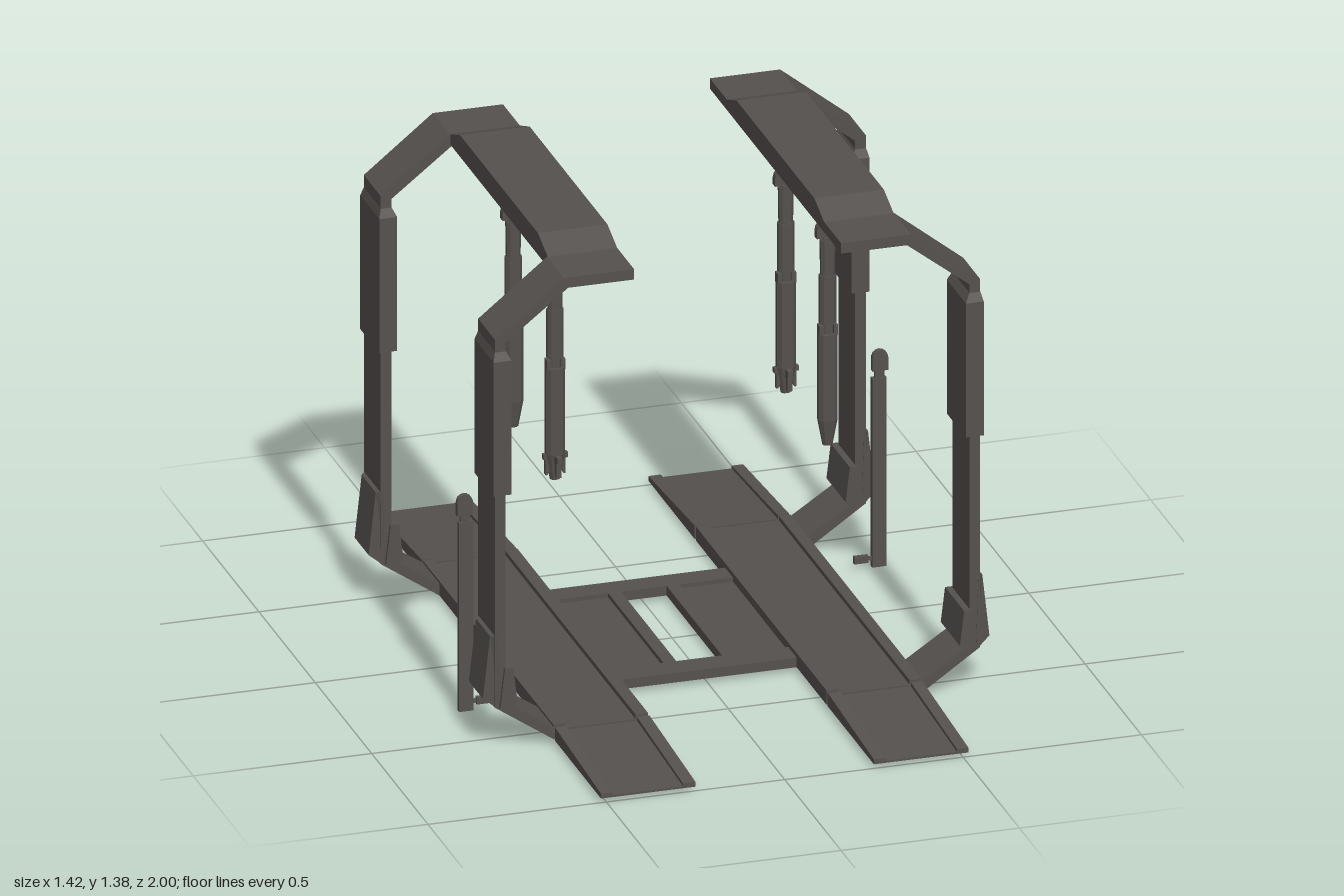
import * as THREE from 'three';

const steel = new THREE.MeshStandardMaterial({ color: 0x55514e, flatShading: true });
steel.name = 'dark steel';

function add(parent, name, geometry) {
  const mesh = new THREE.Mesh(geometry, steel);
  mesh.name = name;
  parent.add(mesh);
  return mesh;
}

// Box given by its limits on each axis
function box(x0, x1, y0, y1, z0, z1) {
  return new THREE.BoxGeometry(x1 - x0, y1 - y0, z1 - z0)
    .translate((x0 + x1) / 2, (y0 + y1) / 2, (z0 + z1) / 2);
}

function extrude(points, depth) {
  const shape = new THREE.Shape(points.map(([a, b]) => new THREE.Vector2(a, b)));
  return new THREE.ExtrudeGeometry(shape, { depth, bevelEnabled: false });
}

// Profile in x,y pushed along z
const alongZ = (points, z0, z1) => extrude(points, z1 - z0).translate(0, 0, z0);

// Profile in z,y pushed along x
const alongX = (points, x0, x1) => extrude(points, x1 - x0).rotateY(-Math.PI / 2).translate(x1, 0, 0);

function makeLeg(zMid) {
  const leg = new THREE.Group();
  leg.name = 'leg';
  leg.position.z = zMid;
  const h = 0.075;
  // Lower bent post
  add(leg, 'lowerArm', alongZ([
    [0.68, 0.76], [0.65, 0.76], [0.65, 0.135], [0.505, 0.04], [0.49, 0.04], [0.49, 0.012], [0.515, 0.012], [0.68, 0.125],
  ], -h, h));
  // Upper bent post carrying the beam
  add(leg, 'upperArm', alongZ([
    [0.68, 1.1], [0.68, 1.197], [0.487, 1.352], [0.29, 1.352], [0.29, 1.322], [0.475, 1.322], [0.65, 1.185], [0.65, 1.1],
  ], -h, h));
  // Sleeve around the telescoping joint, narrowed at its top
  add(leg, 'sleeve', box(0.637, 0.687, 0.745, 1.135, -0.085, 0.085));
  const collar = box(0.637, 0.687, 1.135, 1.16, -0.085, 0.085);
  const p = collar.attributes.position;
  for (let i = 0; i < p.count; i++) {
    if (p.getY(i) > 1.15) p.setXYZ(i, 0.665 + (p.getX(i) - 0.662) * 0.62, p.getY(i), p.getZ(i) * 0.89);
  }
  add(leg, 'sleeveCollar', collar);
  // Knee guards, the outer one drawn in at its far side
  const guard = alongZ([[0.675, 0.335], [0.69, 0.33], [0.71, 0.15], [0.668, 0.118]], -0.076, 0.076);
  const g = guard.attributes.position;
  for (let i = 0; i < g.count; i++) if (g.getX(i) > 0.685) g.setZ(i, g.getZ(i) * 0.82);
  add(leg, 'outerKneeGuard', guard);
  add(leg, 'innerKneeGuard', alongZ([[0.655, 0.24], [0.632, 0.24], [0.62, 0.14], [0.637, 0.12], [0.668, 0.125]], -0.085, 0.085));
  return leg;
}

function makeSide() {
  const side = new THREE.Group();
  side.name = 'side';
  // Track with curbs and sloping end ramps
  add(side, 'trackDeck', box(0.25, 0.515, 0.012, 0.04, -0.58, 0.58));
  for (const [x0, x1] of [[0.25, 0.285], [0.483, 0.515]]) {
    add(side, 'trackCurb', box(x0, x1, 0.039, 0.053, -0.58, 0.58));
    add(side, 'rampCurb', alongX([[0.59, 0.012], [1, 0.012], [1, 0.026], [0.59, 0.051]], x0, x1));
    add(side, 'rampCurb', alongX([[-1, 0.012], [-0.59, 0.012], [-0.59, 0.051], [-1, 0.026]], x0, x1));
  }
  add(side, 'ramp', alongX([[0.59, 0.012], [1, 0.012], [1, 0.018], [0.59, 0.04]], 0.28, 0.49));
  add(side, 'ramp', alongX([[-1, 0.012], [-0.59, 0.012], [-0.59, 0.04], [-1, 0.018]], 0.28, 0.49));

  side.add(makeLeg(0.507), makeLeg(-0.507));

  // Overhead beam with rails beneath
  add(side, 'beam', alongX([[-0.432, 1.336], [0.432, 1.336], [0.432, 1.352], [0.345, 1.385], [-0.345, 1.385], [-0.432, 1.352]], 0.29, 0.485));
  for (const [x0, x1] of [[0.29, 0.325], [0.365, 0.4], [0.45, 0.485]]) {
    add(side, 'beamRail', box(x0, x1, 1.322, 1.337, -0.432, 0.432));
  }

  // Free-standing pedestal with a rounded head and an inward foot bar
  const post = new THREE.Group();
  post.name = 'pedestal';
  post.position.set(0.673, 0, -0.297);
  side.add(post);
  add(post, 'pedestalBody', box(-0.02, 0.02, 0, 0.55, -0.008, 0.008));
  add(post, 'pedestalNeck', box(-0.012, 0.015, 0.55, 0.6, -0.005, 0.005));
  add(post, 'pedestalHead', new THREE.CylinderGeometry(0.022, 0.022, 0.015, 14).rotateX(Math.PI / 2).translate(0.003, 0.608, 0));
  add(post, 'pedestalHeadBase', box(-0.019, 0.025, 0.57, 0.608, -0.0075, 0.0075));
  add(post, 'footBar', box(-0.07, -0.018, 0.02, 0.03, -0.004, 0.004));
  add(post, 'footPad', box(-0.07, -0.03, 0.015, 0.035, -0.007, 0.007));
  return side;
}

function makePiston(x, z, clawed) {
  const piston = new THREE.Group();
  piston.name = 'hangingPiston';
  piston.position.set(x, 0, z);
  // Forked bracket under the beam
  add(piston, 'bracketTop', box(-0.026, 0.026, 1.292, 1.336, -0.025, 0.025));
  for (const s of [-1, 1]) {
    add(piston, 'bracketProng', alongZ([[-0.026, 1.293], [-0.015, 1.256], [0.015, 1.256], [0.026, 1.293]], s * 0.0185 - 0.0065, s * 0.0185 + 0.0065));
  }
  // Flat eye at the top
  add(piston, 'eye', new THREE.CylinderGeometry(0.033, 0.033, 0.022, 16).rotateX(Math.PI / 2).translate(0, 1.209, 0));
  add(piston, 'eyeBase', box(-0.033, 0.033, 1.19, 1.212, -0.011, 0.011));
  // Stepped rod and cylinder: [top radius, bottom radius, bottom y, top y]
  const sections = [
    [0.022, 0.02, 1.07, 1.192], [0.024, 0.024, 0.94, 1.08], [0.017, 0.017, 0.9, 0.95],
    [0.028, 0.028, 0.66, 0.91], [0.028, 0.014, 0.585, 0.66],
  ];
  for (const [rt, rb, y0, y1] of sections) {
    add(piston, 'pistonSection', new THREE.CylinderGeometry(rt, rb, y1 - y0, 10)
      .scale(1, 1, 0.82).translate(0, (y0 + y1) / 2, 0));
  }
  for (const s of [-1, 1]) {
    add(piston, 'jointTab', box(s * 0.02 - 0.006, s * 0.02 + 0.006, 0.905, 0.935, -0.012, 0.012));
  }
  // Four claws around the lower end
  if (clawed) {
    for (let i = 0; i < 4; i++) {
      const claw = add(piston, 'claw', alongZ([
        [0.01, 0.64], [0.023, 0.635], [0.023, 0.612], [0.029, 0.6], [0.036, 0.6], [0.036, 0.645], [0.044, 0.645], [0.044, 0.66], [0.01, 0.66],
      ], -0.007, 0.007));
      claw.rotation.y = i * Math.PI / 2;
      if (i % 2 === 0) claw.scale.x = 0.78;
    }
  }
  return piston;
}

export function createModel() {
  const model = new THREE.Group();
  model.name = 'serviceBay';

  // Both sides are the same, turned half a circle
  const left = makeSide();
  const right = makeSide();
  right.rotation.y = Math.PI;
  model.add(left, right);

  // Cross platform with a central opening
  const bridge = new THREE.Group();
  bridge.name = 'bridge';
  model.add(bridge);
  add(bridge, 'frontBar', box(-0.25, 0.25, 0.012, 0.04, 0.24, 0.315));
  add(bridge, 'rearBar', box(-0.25, 0.25, 0.012, 0.04, -0.32, -0.25));
  for (const s of [-1, 1]) {
    add(bridge, 'panel', box(s * 0.175 - 0.075, s * 0.175 + 0.075, 0.012, 0.028, -0.25, 0.24));
    add(bridge, 'openingEdge', box(s * 0.082 - 0.018, s * 0.082 + 0.018, 0.012, 0.04, -0.25, 0.24));
  }

  for (const s of [-1, 1]) {
    model.add(makePiston(s * 0.382, 0.17, s < 0), makePiston(s * 0.382, -0.2, s > 0));
  }
  return model;
}
